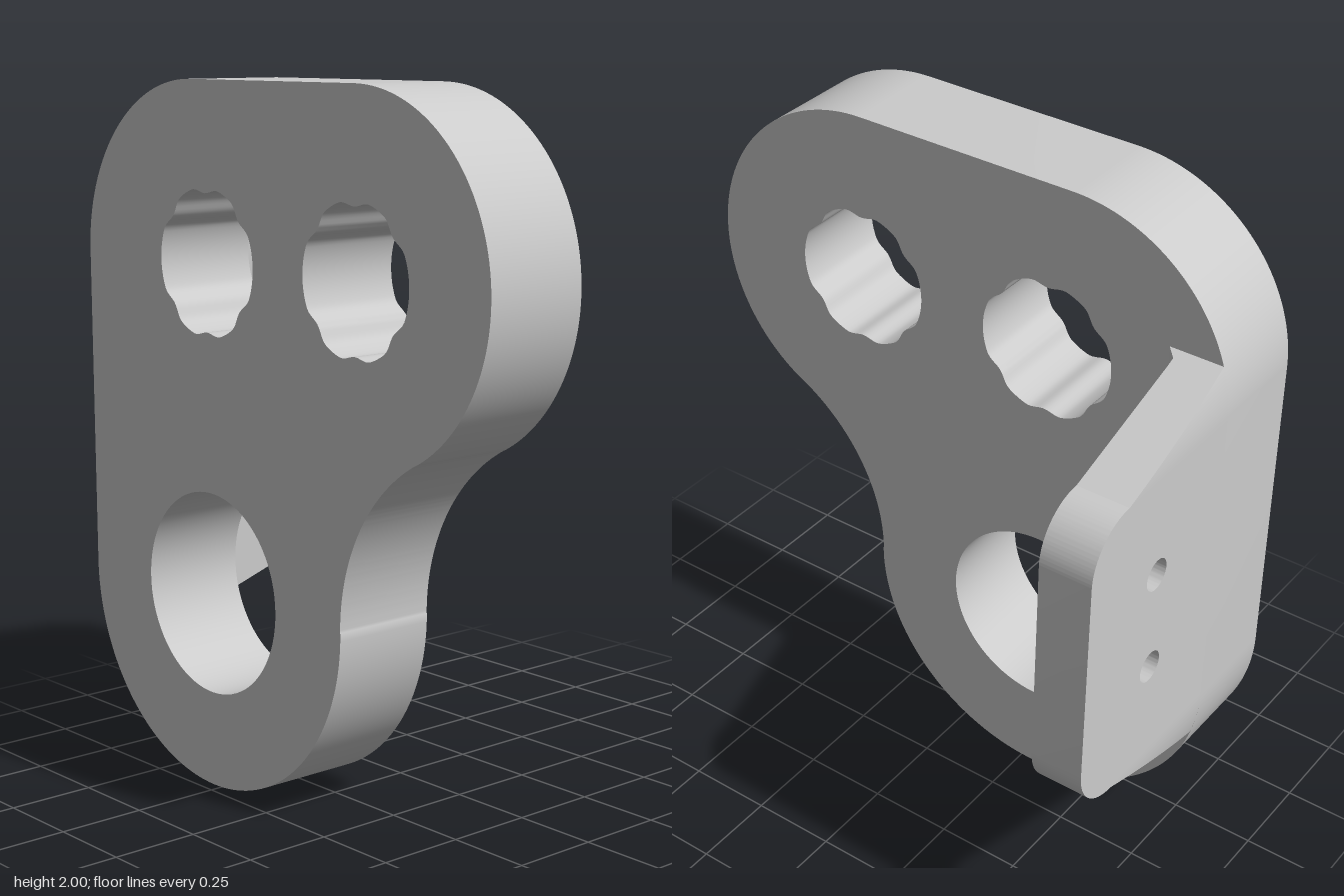
import * as THREE from 'three';
import { toCreasedNormals } from 'three/addons/utils/BufferGeometryUtils.js';

const material = new THREE.MeshStandardMaterial({ color: 0xcccccc });
const PI = Math.PI;
const LEFT = -0.845, INNER = -0.69, BACK = 0.155, THICK = 0.31;

function addMesh(parent, name, geometry) {
  const mesh = new THREE.Mesh(toCreasedNormals(geometry, 0.5), material);
  mesh.name = name;
  parent.add(mesh);
}

const extrude = (shape, depth) =>
  new THREE.ExtrudeGeometry(shape, { depth, bevelEnabled: false, curveSegments: 40 });

function roundHole(x, y, r) {
  return new THREE.Path().absarc(x, y, r, 0, PI * 2, true);
}

// Round hole with six shallow inward scallops
function scallopedHole(cx, cy) {
  const notches = [40, 90, 140, 220, 270, 320];
  const points = [];
  for (let a = 0; a < 360; a += 3) {
    let r = 0.208;
    for (const n of notches) {
      const d = Math.abs(a - n) / 17;
      if (d < 1) r -= 0.008 * (1 + Math.cos(PI * d));
    }
    const t = a * PI / 180;
    points.push(new THREE.Vector2(cx + r * Math.cos(t), cy + r * Math.sin(t)));
  }
  return new THREE.Path(points);
}

// Plate outline: two rounded top corners, a concave waist and a round foot
function plateGeometry() {
  const waist = Math.atan2(-0.935, 0.5);
  const s = new THREE.Shape();
  s.moveTo(LEFT, 0.565);
  s.absarc(-0.282, 0.563, 0.563, PI, PI * 2, false);
  s.absarc(0.84, 0.565, 0.56, PI, waist + PI, true);
  s.absarc(0.342, 1.5, 0.5, waist, PI / 2, false);
  s.absarc(-0.345, 1.5, 0.5, PI / 2, PI, false);
  s.closePath();
  s.holes.push(scallopedHole(-0.283, 1.5), scallopedHole(0.343, 1.5), roundHole(-0.283, 0.565, 0.29));
  return extrude(s, THICK).translate(0, 0, BACK);
}

// Straight part of the side flange, drawn in (-z, y) and extruded along x
function flangeGeometry() {
  const s = new THREE.Shape();
  s.moveTo(-BACK, 0.565);
  s.lineTo(0.31, 0.565);
  s.absarc(0.31, 0.72, 0.155, -PI / 2, 0, false);
  s.absarc(0.31, 1.345, 0.155, 0, PI / 2, false);
  s.lineTo(-BACK, 1.5);
  s.closePath();
  s.holes.push(roundHole(0.15, 1.19, 0.047), roundHole(0.15, 0.88, 0.047));
  return extrude(s, INNER - LEFT).rotateY(PI / 2).translate(LEFT, 0, 0);
}

// Sloping flange end whose outer face follows the rounded plate edge
function flangeEndGeometry(y0, dir, cx, radius) {
  const rows = 16, positions = [], indices = [], n = 5;
  for (let i = 0; i <= rows; i++) {
    const t = i / rows, h = 0.155 * t;
    const outer = cx - Math.sqrt(radius * radius - h * h);
    const zb = THREE.MathUtils.lerp(-0.31, BACK, t);
    const cz = Math.max(zb, 0.125);
    const inner = -0.66 - (cz - 0.125 < 1e-6 ? 0.03 : BACK - cz);
    const section = [[outer, BACK], [outer, zb], [inner, zb], [inner, cz], [-0.66, BACK]];
    for (const [x, z] of section) positions.push(x, y0 + dir * h, z);
  }
  for (let i = 0; i < rows; i++) {
    for (let j = 0; j < n - 1; j++) {
      const a = i * n + j, b = a + 1, c = a + n, d = c + 1;
      if (dir > 0) indices.push(a, c, b, b, c, d);
      else indices.push(a, b, c, b, d, c);
    }
  }
  const g = new THREE.BufferGeometry();
  g.setAttribute('position', new THREE.Float32BufferAttribute(positions, 3));
  g.setIndex(indices);
  return g;
}

// Small triangular bead along the inner corner
function cornerGeometry() {
  const s = new THREE.Shape();
  s.moveTo(INNER, -BACK);
  s.lineTo(-0.66, -BACK);
  s.lineTo(INNER, -0.125);
  s.closePath();
  return extrude(s, 0.935).rotateX(-PI / 2).translate(0, 0.565, 0);
}

export function createModel() {
  const model = new THREE.Group();
  model.name = 'mountingBracket';
  addMesh(model, 'plate', plateGeometry());

  const flange = new THREE.Group();
  flange.name = 'sideFlange';
  addMesh(flange, 'flangeBody', flangeGeometry());
  addMesh(flange, 'flangeTop', flangeEndGeometry(1.5, 1, -0.345, 0.5));
  addMesh(flange, 'flangeBottom', flangeEndGeometry(0.565, -1, -0.282, 0.563));
  addMesh(flange, 'cornerBead', cornerGeometry());
  model.add(flange);
  return model;
}
